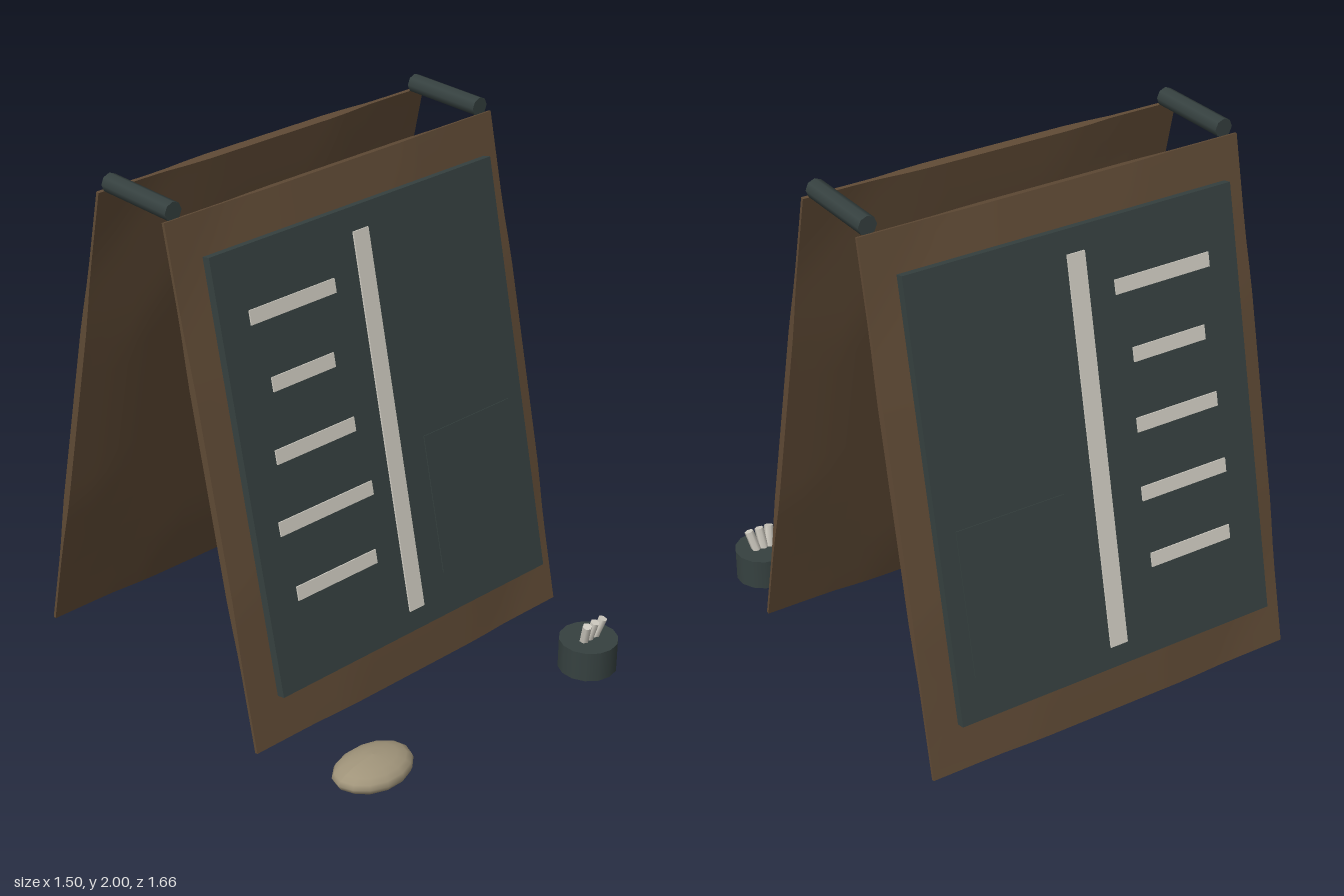
import * as THREE from 'three';

const flat = (name, color) => new THREE.MeshStandardMaterial({ name, color });
const wood = flat('brown wood', 0x5f4a35);
const slate = flat('dark slate', 0x364140);
const chalk = flat('chalk white', 0xd0ccc2);
const tan = flat('tan stone', 0xa0947a);

function add(parent, name, geometry, material, x = 0, y = 0, z = 0) {
  const mesh = new THREE.Mesh(geometry, material);
  mesh.name = name;
  mesh.position.set(x, y, z);
  parent.add(mesh);
  return mesh;
}

// Wooden panel, thick in an octagonal middle and thin at the edges and corners
function panelGeometry(width, height) {
  const g = new THREE.BoxGeometry(width, height, 1, 16, 20, 1);
  const p = g.attributes.position;
  for (let i = 0; i < p.count; i++) {
    const u = Math.abs(p.getX(i)) / (width / 2);
    const v = Math.abs(p.getY(i)) / (height / 2);
    const k = THREE.MathUtils.clamp((1.15 - Math.max(u, v, (u + v) * 0.7)) / 0.4, 0, 1);
    p.setZ(i, Math.sign(p.getZ(i)) * (0.006 + 0.026 * k));
  }
  g.computeVertexNormals();
  return g;
}

// One leaning side of the stand; lines are [length centre x, width] from top to bottom
function boardSide(name, turn, mirror, lines) {
  const side = new THREE.Group();
  side.name = name;
  side.position.z = -0.215;
  side.rotation.y = turn;
  const lean = new THREE.Group();
  lean.name = name + 'Lean';
  lean.position.set(0, 1.005, 0.38);
  lean.rotation.x = -0.218;
  side.add(lean);

  add(lean, 'woodPanel', panelGeometry(1.5, 1.915), wood);
  add(lean, 'slateBoard', new THREE.BoxGeometry(1.3, 1.585, 0.033), slate, 0, 0.027, 0.062);
  add(lean, 'dividerStripe', new THREE.BoxGeometry(0.07, 1.42, 0.008), chalk, 0, 0.024, 0.081);
  add(lean, 'notePlate', new THREE.BoxGeometry(0.43, 0.53, 0.006), slate, mirror * 0.365, -0.34, 0.079);
  lines.forEach(([x, w], i) => {
    add(lean, 'chalkLine', new THREE.BoxGeometry(w, 0.052, 0.008), chalk,
      mirror * x, 0.577 - i * 0.25, 0.08);
  });
  return side;
}

export function createModel() {
  const model = new THREE.Group();
  model.name = 'chalkboardStand';

  model.add(boardSide('frontSide', 0, 1,
    [[-0.337, 0.38], [-0.34, 0.28], [-0.335, 0.36], [-0.335, 0.43], [-0.335, 0.37]]));
  model.add(boardSide('backSide', Math.PI, -1,
    [[-0.335, 0.39], [-0.335, 0.3], [-0.34, 0.34], [-0.34, 0.36], [-0.34, 0.34]]));

  // Hinge bars across the top
  for (const s of [-1, 1]) {
    const g = new THREE.CylinderGeometry(0.035, 0.035, 0.335, 8);
    g.rotateX(Math.PI / 2);
    add(model, 'hingeBar', g, slate, s * 0.703, 1.965, -0.213);
  }

  // Smooth, slightly uneven stone
  const stoneGeo = new THREE.SphereGeometry(1, 14, 10);
  const p = stoneGeo.attributes.position;
  for (let i = 0; i < p.count; i++) {
    const x = p.getX(i), y = p.getY(i), z = p.getZ(i);
    const r = 1 + 0.03 * Math.sin(3 * x + 2 * z) * Math.cos(2 * y);
    p.setXYZ(i, x * r * 0.162, y * r * 0.056, z * r * 0.116);
  }
  stoneGeo.computeVertexNormals();
  add(model, 'stone', stoneGeo, tan, -0.505, 0.071, 0.705);

  // Pot with chalk sticks
  const pot = new THREE.Group();
  pot.name = 'chalkPot';
  pot.position.set(0.584, 0, 0.708);
  model.add(pot);
  add(pot, 'pot', new THREE.CylinderGeometry(0.111, 0.111, 0.12, 14), slate, 0, 0.06, 0);
  [[-0.03, 0.12], [0.0, -0.08], [0.035, -0.22]].forEach(([x, tilt]) => {
    const stick = add(pot, 'chalkStick', new THREE.CylinderGeometry(0.018, 0.018, 0.12, 6), chalk, x, 0.138, 0.008);
    stick.rotation.set(0.25, 0, tilt);
  });
  return model;
}
